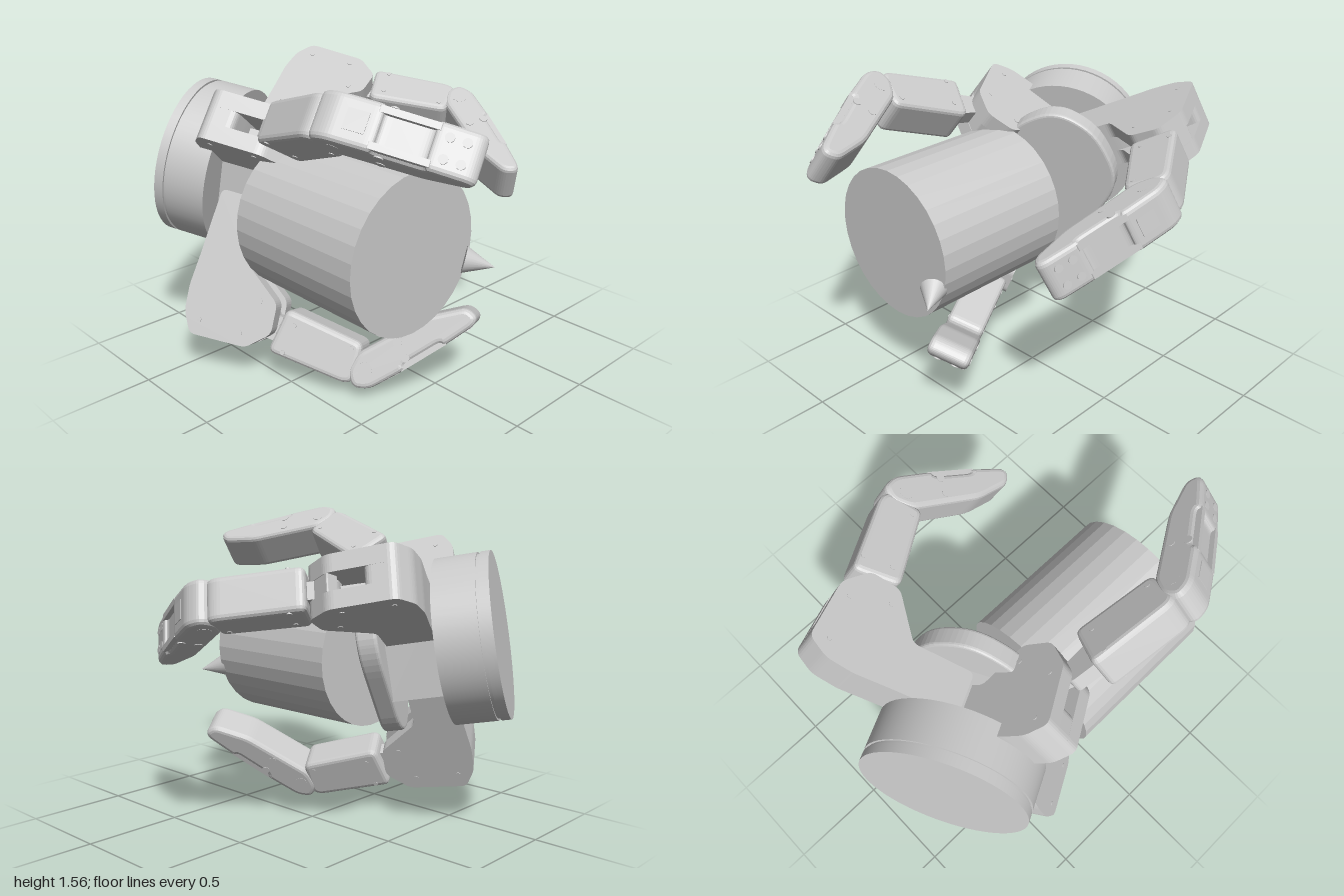
import * as THREE from 'three';

const grey = new THREE.MeshStandardMaterial({ color: 0xcccccc });
const faceted = new THREE.MeshStandardMaterial({ color: 0xcccccc, flatShading: true });

function add(parent, name, geometry, x = 0, y = 0, z = 0, material = grey) {
  const mesh = new THREE.Mesh(geometry, material);
  mesh.name = name;
  mesh.position.set(x, y, z);
  parent.add(mesh);
  return mesh;
}

// Closed polygon whose corners are rounded by up to radius r
function roundedShape(points, r) {
  const p = points.map(([x, y]) => new THREE.Vector2(x, y));
  const shape = new THREE.Shape();
  p.forEach((c, i) => {
    const toward = (q) => c.clone().lerp(q, Math.min(0.45, r / c.distanceTo(q)));
    const a = toward(p[(i + p.length - 1) % p.length]);
    const b = toward(p[(i + 1) % p.length]);
    if (i === 0) shape.moveTo(a.x, a.y);
    else shape.lineTo(a.x, a.y);
    shape.quadraticCurveTo(c.x, c.y, b.x, b.y);
  });
  shape.closePath();
  return shape;
}

// Extruded polygon with rounded corners, its thickness centred on z
function slab(points, width, radius, bevel) {
  const geometry = new THREE.ExtrudeGeometry(roundedShape(points, radius), {
    depth: width - 2 * bevel, curveSegments: 5, bevelEnabled: bevel > 0,
    bevelThickness: bevel, bevelSize: bevel, bevelOffset: -bevel, bevelSegments: 3,
  });
  return geometry.translate(0, 0, -(width - 2 * bevel) / 2);
}

// Same, drawn in the x-z plane with its thickness centred on y
const plate = (...args) => slab(...args).rotateX(Math.PI / 2);

// Cylinder along z between two stations
function drum(radius, z0, z1, segments) {
  return new THREE.CylinderGeometry(radius, radius, z1 - z0, segments)
    .rotateX(Math.PI / 2).translate(0, 0, (z0 + z1) / 2);
}

const pin = (radius, width) => new THREE.CylinderGeometry(radius, radius, width, 20);

// Local finger axes: x outward from the palm, y across, z forward
function makeFinger({ name, angle, offset, inset, shift, joint, open, bend }) {
  const finger = new THREE.Group();
  finger.name = name;
  const turn = THREE.MathUtils.degToRad(angle);
  finger.rotation.z = turn;
  finger.position.set(-Math.sin(turn) * offset, Math.cos(turn) * offset, 0);

  // Knuckle: two cheeks with a shorter core, leaving a slot at the elbow
  const knuckle = new THREE.Group();
  knuckle.name = 'knuckle';
  knuckle.position.set(-inset, 0, shift);
  finger.add(knuckle);
  const back = [[0.15, 0.02], [0.47, 0], [0.65, -0.015], [0.78, -0.005], [0.88, 0.05]];
  const cheek = [...back, [0.86, 0.345], [0.76, 0.455], [0.61, 0.445], [0.46, 0.24], [0.15, 0.25]];
  const core = [...back, [0.87, 0.18], [0.76, 0.2], [0.62, 0.22], [0.46, 0.24], [0.15, 0.25]];
  for (const side of [-1, 1]) {
    add(knuckle, 'knuckleCheek', plate(cheek, 0.08, 0.03, 0), 0, side * 0.08, 0);
    for (const [x, z] of [[0.8, 0.08], [0.8, 0.3], [0.62, 0.36]])
      add(knuckle, 'knuckleScrew', pin(0.012, 0.006), x, side * 0.12, z);
  }
  add(knuckle, 'knuckleCore', plate(core, 0.08, 0.03, 0));
  add(knuckle, 'knuckleOuterBridge',
    plate([[0.8, 0.31], [0.86, 0.34], [0.76, 0.45], [0.7, 0.44]], 0.08, 0.01, 0));
  add(knuckle, 'driveBar', plate([[0.64, 0.14], [0.72, 0.14], [0.73, 0.44], [0.66, 0.44]], 0.05, 0.03, 0));

  // Middle link, swinging about the knuckle joint
  const middle = new THREE.Group();
  middle.name = 'middleLink';
  middle.position.set(joint[0], 0, joint[1]);
  middle.rotation.y = THREE.MathUtils.degToRad(open);
  finger.add(middle);
  add(middle, 'middleBody', plate([[-0.11, 0.06], [0.12, 0.02], [0.15, 0.43], [0.12, 0.47], [-0.06, 0.47]], 0.2, 0.04, 0.025));
  add(middle, 'rearTongue', plate([[-0.04, -0.1], [0.06, -0.1], [0.08, 0.1], [-0.06, 0.1]], 0.08, 0.03, 0));
  add(middle, 'frontTongue', plate([[-0.04, 0.4], [0.11, 0.4], [0.11, 0.54], [0, 0.56]], 0.12, 0.03, 0));
  add(middle, 'kneePin', pin(0.035, 0.212), 0.05, 0, 0.51);
  for (const side of [-1, 1])
    for (const [x, z] of [[-0.04, 0.12], [0.1, 0.1], [-0.02, 0.42]])
      add(middle, 'middleScrew', pin(0.012, 0.006), x, side * 0.1, z);

  // Fingertip, bent inward, with a pocket in its outer face
  const tip = new THREE.Group();
  tip.name = 'fingertip';
  tip.position.set(0.05, 0, 0.51);
  tip.rotation.y = THREE.MathUtils.degToRad(-52 + bend);
  middle.add(tip);
  add(tip, 'tipBody', plate([[-0.085, 0], [-0.03, -0.085], [0.05, -0.1], [0.092, -0.03], [0.088, 0.17], [0.062, 0.175],
    [0.048, 0.38], [0.07, 0.385], [0.05, 0.56], [0.02, 0.59], [-0.04, 0.565], [-0.09, 0.38]], 0.21, 0.035, 0.025));
  for (const side of [-1, 1]) {
    add(tip, 'pocketRail', plate([[0.02, 0.15], [0.088, 0.15], [0.07, 0.4], [0.01, 0.4]], 0.03, 0.005, 0), 0, side * 0.077, 0);
    for (const x of [-0.04, 0.04]) add(tip, 'tipPin', pin(0.02, 0.006), x, side * 0.105, 0.2);
    for (const z of [0.44, 0.51])
      add(tip, 'padScrew', pin(0.02, 0.012).rotateZ(Math.PI / 2), 0.062 - (z - 0.43) * 0.11, side * 0.045, z);
  }
  add(tip, 'hingeCover', new THREE.BoxGeometry(0.006, 0.09, 0.09), 0.09, 0, 0.08);
  return finger;
}

export function createModel() {
  const model = new THREE.Group();
  model.name = 'gripperHoldingCylinder';

  // Held cylinder with a small cone at its rim
  add(model, 'heldCylinder', drum(0.376, -0.125, 0.63, 32), -0.31, 0.83, 0, faceted);
  const base = new THREE.Vector3(0, 0.72, 0.65);
  const apex = new THREE.Vector3(0.085, 0.69, 0.76);
  const cone = add(model, 'cone', new THREE.ConeGeometry(0.063, base.distanceTo(apex), 24));
  cone.position.copy(base).lerp(apex, 0.5);
  cone.quaternion.setFromUnitVectors(new THREE.Vector3(0, 1, 0), apex.clone().sub(base).normalize());

  // Gripper frame: local z runs forward through the palm
  const gripper = new THREE.Group();
  gripper.name = 'gripper';
  const forward = new THREE.Vector3(0.46, -0.17, 0.87).normalize();
  const across = new THREE.Vector3(0, 1, 0).cross(forward).normalize();
  const up = forward.clone().cross(across);
  gripper.quaternion.setFromRotationMatrix(new THREE.Matrix4().makeBasis(across, up, forward));
  gripper.position.set(-0.325, 0.94, -0.58);
  model.add(gripper);

  // Mounting flange with a narrow groove
  add(gripper, 'flangeBack', drum(0.4, -0.26, -0.215, 56));
  add(gripper, 'flangeGroove', drum(0.39, -0.215, -0.2, 56));
  add(gripper, 'flangeFront', drum(0.4, -0.2, 0, 56));

  // Hub and egg-shaped palm
  add(gripper, 'hub', new THREE.BoxGeometry(0.44, 0.44, 0.28), 0, 0, 0.13);
  const palm = [[0.37, 0.14], [0.36, 0], [0.12, -0.39], [-0.04, -0.4], [-0.18, -0.25], [-0.26, -0.04],
    [-0.27, 0.16], [-0.16, 0.34], [0, 0.43], [0.12, 0.43], [0.27, 0.34]];
  add(gripper, 'palm', slab(palm, 0.1, 0.1, 0.015), 0, 0, 0.305);

  // Three fingers, each set to its own pose
  const poses = [
    { name: 'rightFinger', angle: 24, offset: 0.07, inset: 0.03, shift: 0, joint: [0.69, 0.42], open: 0, bend: 5 },
    { name: 'upperFinger', angle: 143.5, offset: -0.07, inset: 0.29, shift: -0.05, joint: [0.59, 0.36], open: 41, bend: 8 },
    { name: 'lowerFinger', angle: 248, offset: -0.08, inset: 0.03, shift: 0, joint: [0.7, 0.43], open: 0, bend: 8 },
  ];
  for (const pose of poses) gripper.add(makeFinger(pose));
  return model;
}
